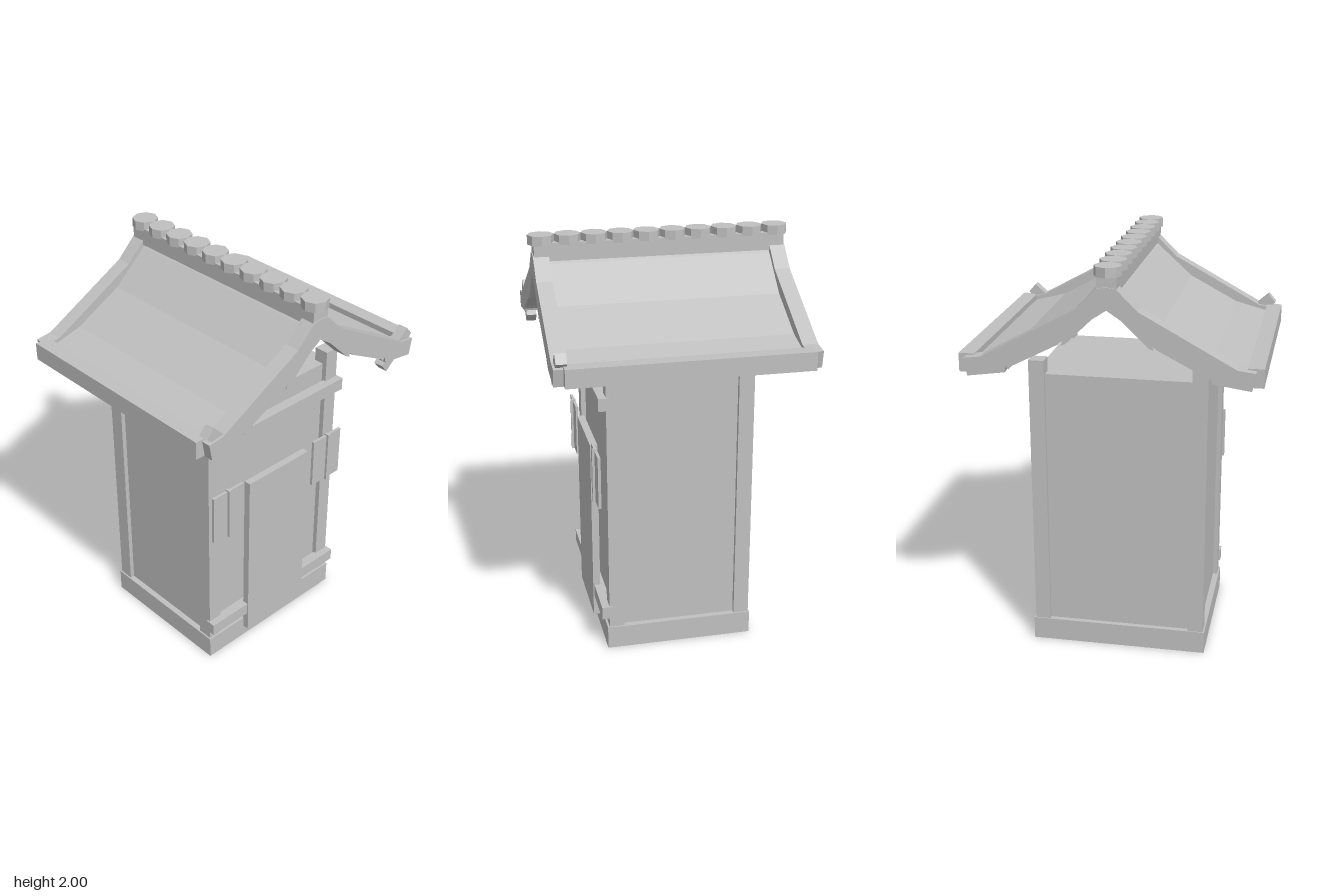
import * as THREE from 'three';

export function createModel() {
  const group = new THREE.Group();
  const grey = new THREE.MeshStandardMaterial({ color: 0xc0c0c0, flatShading: true });

  const add = (name, geometry) => {
    const mesh = new THREE.Mesh(geometry, grey);
    mesh.name = name;
    group.add(mesh);
    return mesh;
  };
  // Box given by its limits on each axis
  const box = (name, x0, x1, y0, y1, z0, z1) => {
    const mesh = add(name, new THREE.BoxGeometry(x1 - x0, y1 - y0, z1 - z0));
    mesh.position.set((x0 + x1) / 2, (y0 + y1) / 2, (z0 + z1) / 2);
    return mesh;
  };
  // Half outline in the front plane, mirrored across x and extruded along z
  const symmetric = (name, top, bottom, z0, z1) => {
    const half = [...top, ...bottom];
    const mirrored = half.map(([x, y]) => [-x, y]).reverse();
    const points = [...half, ...mirrored].filter(([x, y], i, all) => {
      const [px, py] = all[(i + all.length - 1) % all.length];
      return Math.abs(x - px) + Math.abs(y - py) > 1e-6;
    });
    const shape = new THREE.Shape(points.map(([x, y]) => new THREE.Vector2(x, y)));
    const geometry = new THREE.ExtrudeGeometry(shape, { depth: z1 - z0, bevelEnabled: false });
    geometry.translate(0, 0, z0);
    return add(name, geometry);
  };

  // Plinth, closed body and door
  box('base', -0.435, 0.435, 0, 0.115, -0.37, 0.355);
  box('walls', -0.405, 0.405, 0.1, 1.415, -0.345, 0.32);
  box('door', -0.2, 0.2, 0.06, 1, 0.352, 0.388);

  // Front rails
  box('upperRail', -0.435, 0.435, 1.262, 1.325, 0.33, 0.382);
  box('lowerRail', -0.435, 0.435, 0.167, 0.23, 0.33, 0.382);

  for (const s of [-1, 1]) {
    const side = (name, x0, x1, ...rest) =>
      box(name, Math.min(s * x0, s * x1), Math.max(s * x0, s * x1), ...rest);

    // Corner posts
    side('frontPost', 0.352, 0.427, 0.115, 1.485, 0.27, 0.345);
    side('backPost', 0.352, 0.427, 0.115, 1.485, -0.365, -0.29);

    // Wall plaques with a raised strip
    side('plaque', 0.242, 0.435, 0.77, 1.032, 0.376, 0.39);
    side('plaqueStrip', 0.333, 0.347, 0.765, 1.04, 0.376, 0.402);

    // Eave beam
    side('eave', 0.62, 0.695, 1.48, 1.568, -0.57, 0.565);

    // Slanted peg across the end of the front gable board
    const peg = add('eavePeg', new THREE.BoxGeometry(0.22, 0.054, 0.05));
    peg.position.set(s * 0.562, 1.529, 0.574);
    peg.rotation.z = s * 0.72;
  }

  // Swept roof sheet
  symmetric('roof',
    [[0, 1.9], [0.045, 1.868], [0.22, 1.71], [0.46, 1.582], [0.64, 1.535]],
    [[0.64, 1.5], [0.455, 1.545], [0.205, 1.67], [0, 1.85]], -0.54, 0.54);

  // Gable boards, front and back
  for (const z of [0.535, -0.61]) {
    symmetric('gableBoard',
      [[0, 1.91], [0.042, 1.905], [0.14, 1.808], [0.58, 1.568], [0.66, 1.558]],
      [[0.645, 1.475], [0.47, 1.5], [0.462, 1.53], [0.45, 1.515], [0.435, 1.532],
        [0.222, 1.642], [0.2, 1.662], [0.205, 1.638], [0.185, 1.648], [0.065, 1.765], [0, 1.808]],
      z, z + 0.075);
  }

  // Ridge beam with a row of octagonal caps
  box('ridge', -0.045, 0.045, 1.88, 1.965, -0.605, 0.605);
  for (let i = 0; i < 10; i++) {
    const cap = add('ridgeCap', new THREE.CylinderGeometry(0.063, 0.063, 0.045, 8));
    cap.position.set(0, 1.9775, -0.567 + i * 0.126);
  }
  return group;
}
